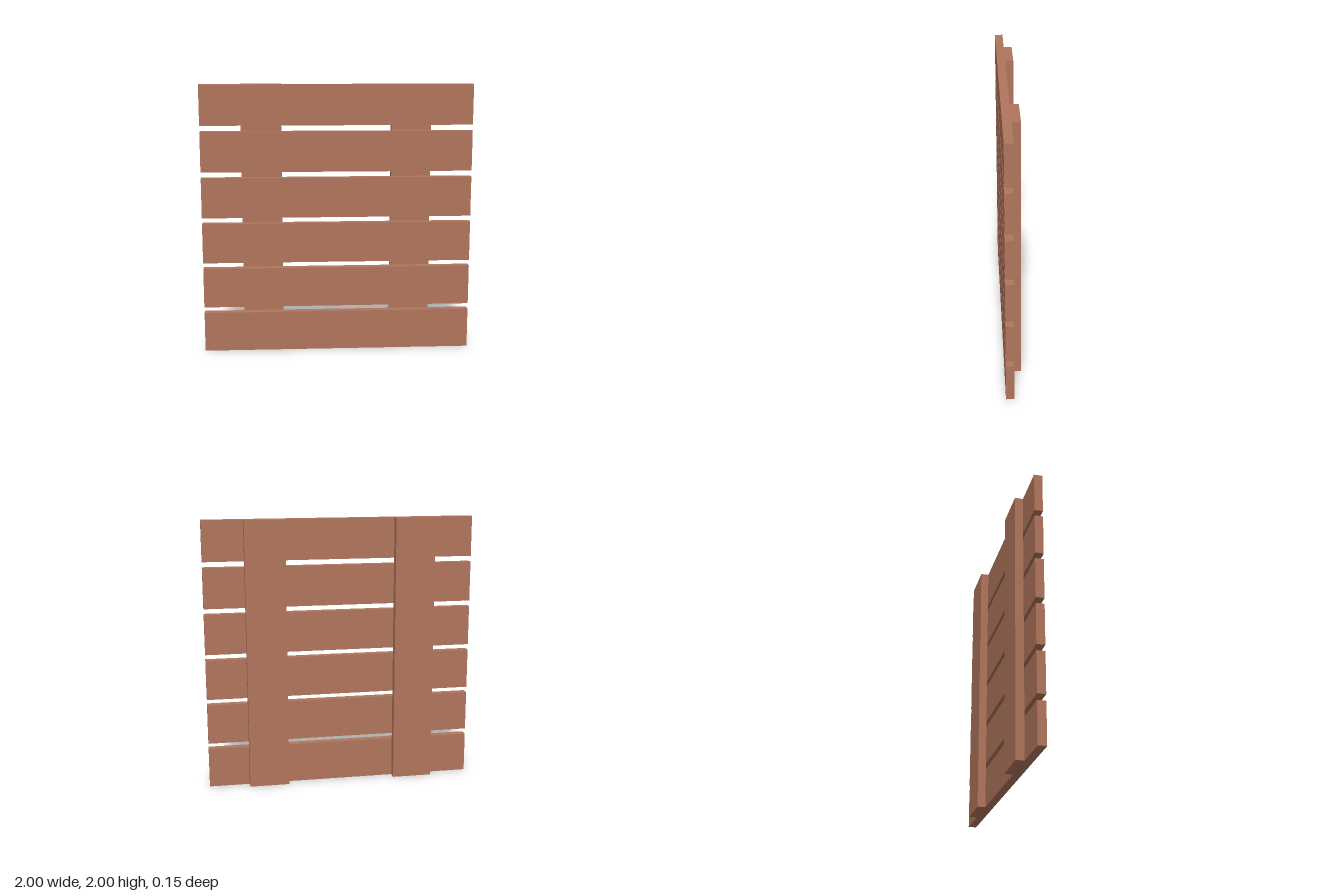
import * as THREE from 'three';

export function createModel() {
  const wood = new THREE.MeshStandardMaterial({ color: 0xb0755c });
  wood.name = 'reddish wood';

  const model = new THREE.Group();
  model.name = 'plankPanel';

  // The whole panel leans very slightly, so its parts share a pivot at mid height
  const panel = new THREE.Group();
  panel.name = 'panel';
  panel.position.y = 1;
  panel.rotation.set(0.006, 0.009, 0);
  model.add(panel);

  const addBoard = (name, w, h, d, x, y, z) => {
    const board = new THREE.Mesh(new THREE.BoxGeometry(w, h, d), wood);
    board.name = name;
    board.position.set(x, y, z);
    panel.add(board);
  };

  // Six horizontal planks with narrow gaps
  for (let i = 0; i < 6; i++) {
    addBoard(`plank${i + 1}`, 2, 0.297, 0.06, 0, -0.8515 + i * 0.3406, 0.029);
  }

  // Two upright battens on the back
  addBoard('leftBatten', 0.296, 2, 0.06, 0.552, 0, -0.031);
  addBoard('rightBatten', 0.296, 2, 0.06, -0.556, 0, -0.031);

  return model;
}
